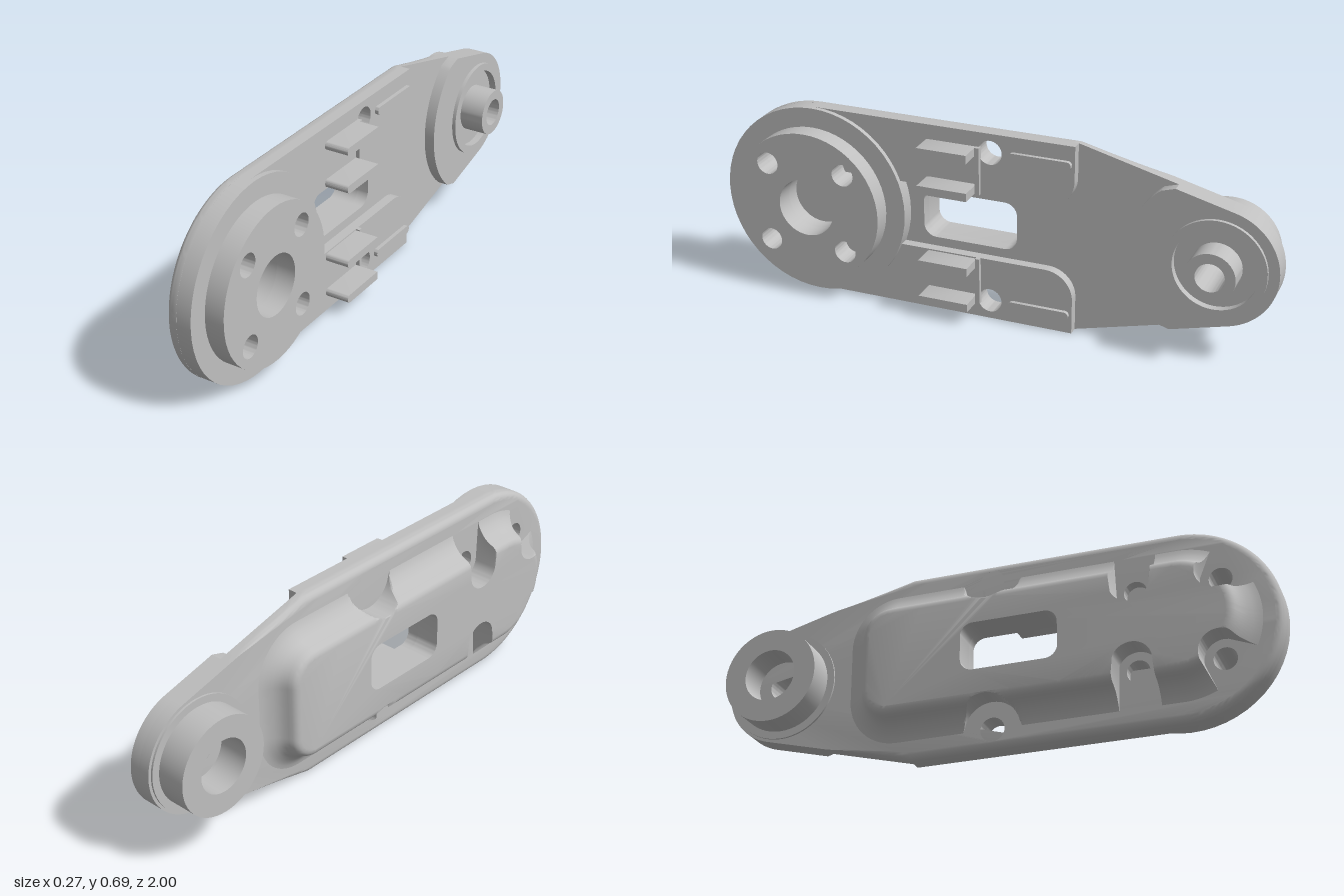
import * as THREE from 'three';
import { toCreasedNormals } from 'three/addons/utils/BufferGeometryUtils.js';

// Local frame: u runs toward the back, v is up from the centre line, w is the thickness (+x).
const HALF = 0.345, BIG = -0.655, SMALL = 0.79;
const V = (x, y) => new THREE.Vector2(x, y);

// Points with outward normals along an arc (degrees); a zero radius gives an offsettable corner.
function arc(cu, cv, r, a0, a1, n) {
  return Array.from({ length: n + 1 }, (_, i) => {
    const a = THREE.MathUtils.degToRad(n ? a0 + (a1 - a0) * i / n : a0);
    const nrm = V(Math.cos(a), Math.sin(a));
    return { p: V(cu, cv).addScaledVector(nrm, r), n: nrm };
  });
}
const points = (stations) => stations.map((s) => s.p);
const circle = (cu, cv, r) => points(arc(cu, cv, r, 0, 360, 56)).slice(0, -1);

// Fill the straight runs between arcs with evenly spaced stations.
function subdivide(stations, step) {
  const out = [];
  stations.forEach((a, i) => {
    const b = stations[(i + 1) % stations.length];
    const k = Math.max(1, Math.ceil(a.p.distanceTo(b.p) / step));
    for (let j = 0; j < k; j++) {
      out.push({ p: a.p.clone().lerp(b.p, j / k), n: a.n.clone().lerp(b.n, j / k).normalize() });
    }
  });
  return out;
}

// Rounded rectangle outline, anticlockwise.
function roundRect(u0, u1, v0, v1, r) {
  return points([
    ...arc(u1 - r, v0 + r, r, -90, 0, 10), ...arc(u1 - r, v1 - r, r, 0, 90, 10),
    ...arc(u0 + r, v1 - r, r, 90, 180, 10), ...arc(u0 + r, v0 + r, r, 180, 270, 10),
  ]);
}

// Closed solid through rings [points, w] of rising w, pierced by straight holes.
function solid(rings, holes = []) {
  const pos = [];
  const put = (p, w) => pos.push(p.x, p.y, w);
  const wall = (A, wa, B, wb) => A.forEach((a, i) => {
    const j = (i + 1) % A.length;
    put(a, wa); put(A[j], wa); put(B[j], wb);
    put(a, wa); put(B[j], wb); put(B[i], wb);
  });
  for (let k = 0; k + 1 < rings.length; k++) wall(...rings[k], ...rings[k + 1]);
  const first = rings[0], last = rings[rings.length - 1];
  for (const h of holes) {
    const r = [...h].reverse();
    wall(r, first[1], r, last[1]);
  }
  for (const [ring, w, up] of [[...first, false], [...last, true]]) {
    const all = [ring, ...holes].flat();
    for (const [a, b, c] of THREE.ShapeUtils.triangulateShape([...ring], holes.map((h) => [...h]))) {
      const ccw = THREE.ShapeUtils.area([all[a], all[b], all[c]]) > 0;
      for (const i of ccw === up ? [a, b, c] : [a, c, b]) put(all[i], w);
    }
  }
  const g = new THREE.BufferGeometry();
  g.setAttribute('position', new THREE.Float32BufferAttribute(pos, 3));
  return toCreasedNormals(g, 0.5);
}
const prism = (pts, w0, w1, holes) => solid([[pts, w0], [pts, w1]], holes);

export function createModel() {
  const model = new THREE.Group();
  model.name = 'linkArm';
  const body = new THREE.Group();
  body.name = 'armBody';
  body.rotation.y = Math.PI / 2;
  body.position.y = HALF;
  model.add(body);

  const grey = new THREE.MeshStandardMaterial({ color: 0xbfbfbf });
  grey.name = 'grey';
  const add = (name, geometry) => {
    const m = new THREE.Mesh(geometry, grey);
    m.name = name;
    body.add(m);
  };

  // Shared openings
  const slot = roundRect(-0.26, 0.085, -0.0875, 0.0875, 0.045);
  const boltCentres = [-1, 1].flatMap((a) => [-1, 1].map((b) => V(BIG + a * 0.145, b * 0.145)));
  const boltHoles = boltCentres.map((c) => circle(c.x, c.y, 0.04));
  const screwHole = (s) => circle(0, s * 0.277, 0.043);
  const pinBore = circle(SMALL, 0, 0.05);

  // Base plate with a rounded outer edge that fades out toward the small end
  const outline = subdivide([
    ...arc(SMALL, 0, 0.21, -75.4, 75.4, 40), ...arc(0.3, HALF, 0, 82, 82, 0),
    ...arc(BIG, 0, HALF, 90, 270, 72), ...arc(0.3, -HALF, 0, 278, 278, 0),
  ], 0.03);
  const plateRing = (inset) => outline.map(({ p, n }) =>
    p.clone().addScaledVector(n, -inset * THREE.MathUtils.clamp((0.6 - p.x) / 0.3, 0, 1)));
  const plateRings = [];
  for (let i = 0; i <= 6; i++) {
    const a = i / 6 * Math.PI / 2;
    plateRings.push([plateRing(0.028 * (1 - Math.sin(a))), 0.001 - 0.028 * Math.cos(a)]);
  }
  plateRings.push([plateRing(0), 0.015]);
  add('basePlate', solid(plateRings, [slot, ...boltHoles, screwHole(1), screwHole(-1), pinBore]));

  // Raised back hump with flared sides, notched around the bolt and screw holes
  const core = subdivide([
    ...arc(0.35, -0.1, 0, -90, 0, 14), ...arc(0.35, 0.1, 0, 0, 90, 14),
    ...arc(BIG, 0, 0.1, 90, 270, 140),
  ], 0.006);
  const notches = [
    ...boltCentres.map((c) => [c, 0.07]),
    [V(0, 0.277), 0.1], [V(0, -0.277), 0.1],
  ];
  const humpRing = (offset) => core.map(({ p, n }) => {
    const q = p.clone().addScaledVector(n, offset);
    let push = 0;
    for (const [c, r] of notches) {
      const rel = c.clone().sub(q);
      const along = -rel.dot(n), lat2 = rel.lengthSq() - along * along;
      if (lat2 >= r * r) continue;
      const t = along + Math.sqrt(r * r - lat2);
      if (t < 0.25) push = Math.max(push, t);
    }
    return q.addScaledVector(n, -push);
  });
  const humpProfile = [
    [0.074, -0.115], [0.085, -0.113], [0.094, -0.107], [0.1, -0.099], [0.105, -0.087],
    [0.112, -0.073], [0.121, -0.06], [0.133, -0.049], [0.147, -0.039], [0.162, -0.031], [0.176, -0.027],
  ];
  add('backHump', solid(humpProfile.map(([s, w]) => [humpRing(s), w]), [slot]));

  // Large round boss: low rim and tall disc, with a blind centre hole
  const bossHoles = [circle(BIG, 0, 0.105), ...boltHoles];
  add('bossRim', prism(circle(BIG, 0, HALF), 0.015, 0.068, bossHoles));
  add('bossDisc', prism(circle(BIG, 0, 0.275), 0.068, 0.137, bossHoles));

  // Small end: raised pad, grooved ring, post and rear hub
  const centre = V(SMALL, 0);
  const endPts = [
    ...points(outline).filter((p) => p.distanceTo(centre) < 0.308),
    ...points(arc(SMALL, 0, 0.31, 129, 231, 30)),
  ];
  const angle = (p) => (Math.atan2(p.y, p.x - SMALL) + 2 * Math.PI) % (2 * Math.PI);
  endPts.sort((a, b) => angle(a) - angle(b));
  const groove = circle(SMALL, 0, 0.145);
  add('endPad', prism(endPts, 0.015, 0.053, [groove]));
  add('grooveRing', prism(circle(SMALL, 0, 0.173), 0.053, 0.066, [groove]));
  add('grooveFloor', prism(groove, 0.015, 0.04, [pinBore]));
  add('pinPost', prism(circle(SMALL, 0, 0.085), 0.015, 0.13, [pinBore]));
  const hubBore = circle(SMALL, 0, 0.095);
  add('rearHubFlange', prism(circle(SMALL, 0, 0.2), -0.034, -0.026, [hubBore]));
  add('rearHub', prism(circle(SMALL, 0, 0.173), -0.137, -0.026, [hubBore]));

  // Mirrored pads, prongs and ribs above and below the slot
  for (const s of [1, -1]) {
    const flip = (pts) => (s > 0 ? pts : pts.map((p) => V(p.x, -p.y)).reverse());
    const side = s > 0 ? 'upper' : 'lower';
    const pad = [V(BIG, 0.12), ...points(arc(0.2, 0.22, 0.1, -90, 0, 14)), V(0.3, HALF), V(BIG, HALF)];
    add(side + 'Pad', prism(flip(pad), 0.015, 0.05, [screwHole(s)]));
    for (const v of [0.14, 0.277]) {
      const prong = [...points(arc(-0.225, v, 0.015, 90, 270, 10)), V(-0.05, v - 0.015), V(-0.05, v + 0.015)];
      add(side + 'Prong', prism(flip(prong), 0.045, 0.137));
    }
    add(side + 'LongRib', prism(flip(roundRect(0.07, 0.29, 0.262, 0.292, 0.0145)), 0.045, 0.064));
    const crossRib = [V(-0.05, 0.12), V(-0.034, 0.12), V(-0.034, 0.292), V(-0.05, 0.292)];
    add(side + 'CrossRib', prism(flip(crossRib), 0.045, 0.064));
  }
  return model;
}
